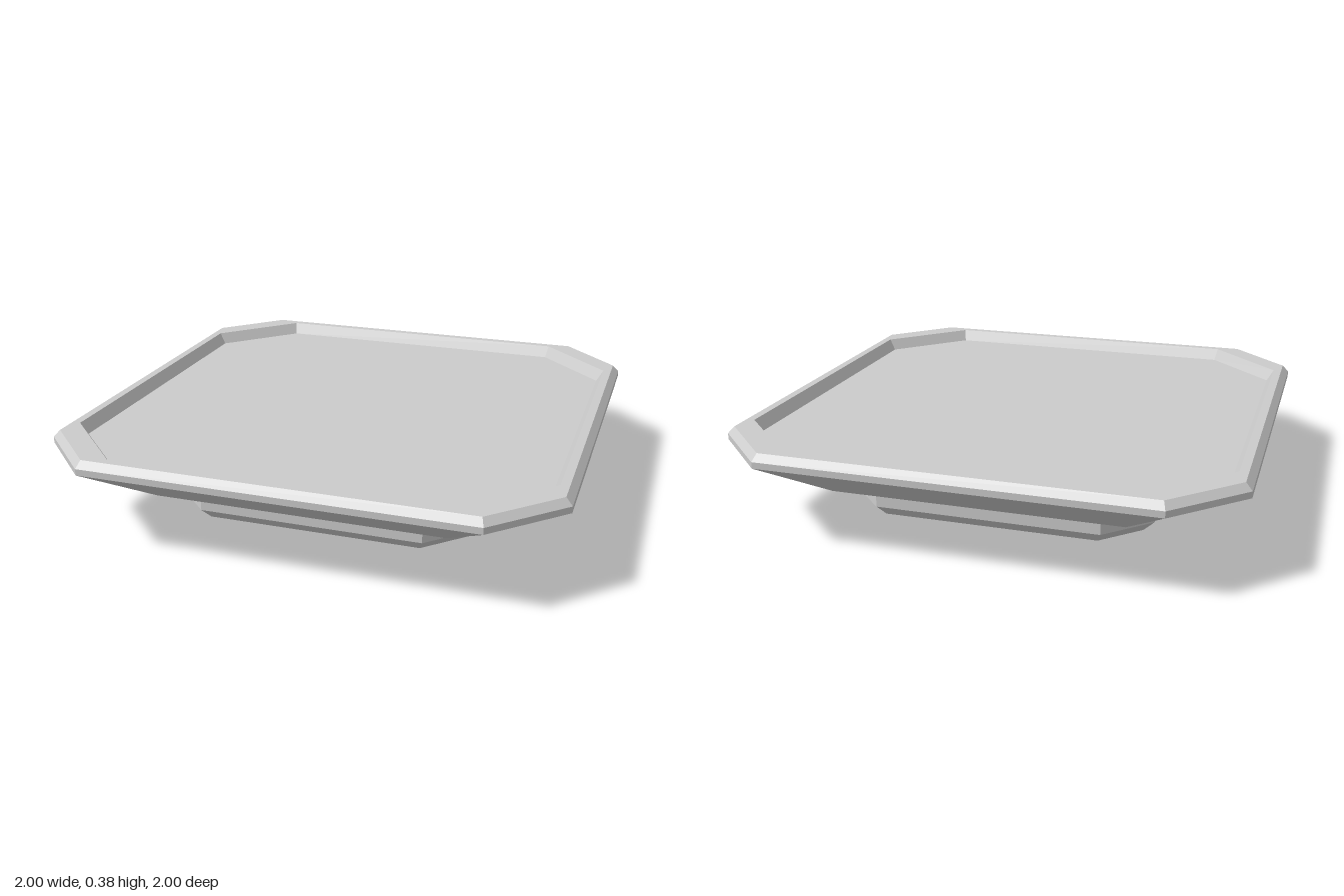
import * as THREE from 'three';

const material = new THREE.MeshStandardMaterial({ color: 0xcccccc, flatShading: true });

// Chamfered square: h = half width, k = half length of the straight side
const octagon = ([h, k, y]) =>
  [[h, -k], [h, k], [k, h], [-k, h], [-h, k], [-h, -k], [-k, -h], [k, -h]]
    .map(([x, z]) => new THREE.Vector3(x, y, z));

// Joins a list of chamfered squares [h, k, y]; h = 0 closes an end
function loft(name, profile) {
  const rings = profile.map(octagon);
  const points = [];
  for (let r = 0; r < rings.length - 1; r++) {
    for (let i = 0; i < 8; i++) {
      const j = (i + 1) % 8;
      const a = rings[r][i], b = rings[r][j];
      const c = rings[r + 1][i], d = rings[r + 1][j];
      if (profile[r][0] > 0) points.push(a, c, b);
      if (profile[r + 1][0] > 0) points.push(b, c, d);
    }
  }
  const geometry = new THREE.BufferGeometry().setFromPoints(points);
  geometry.computeVertexNormals();
  const mesh = new THREE.Mesh(geometry, material);
  mesh.name = name;
  return mesh;
}

// Adds the corners of a w x d rectangle to a shape or hole path
function rectangle(path, w, d) {
  return path.setFromPoints([[-1, -1], [1, -1], [1, 1], [-1, 1]]
    .map(([x, y]) => new THREE.Vector2(x * w / 2, y * d / 2)));
}

// Hollow square socket standing on y = 0
function socket(w, d, wall, height) {
  const shape = rectangle(new THREE.Shape(), w, d);
  shape.holes.push(rectangle(new THREE.Path(), w - 2 * wall, d - 2 * wall));
  const geometry = new THREE.ExtrudeGeometry(shape, { depth: height, bevelEnabled: false });
  geometry.rotateX(-Math.PI / 2);
  const mesh = new THREE.Mesh(geometry, material);
  mesh.name = 'socket';
  return mesh;
}

export function createModel() {
  const model = new THREE.Group();
  model.name = 'tray';

  // Tray: sloping underside, bevelled rim and sunken top
  model.add(loft('trayTop', [
    [0, 0, 0.157],
    [0.745, 0.57, 0.157],
    [1, 0.75, 0.323],
    [1, 0.75, 0.348],
    [0.975, 0.74, 0.375],
    [0.942, 0.65, 0.375],
    [0.915, 0.64, 0.328],
    [0, 0, 0.328],
  ]));

  // Foot: open ring with a bevelled lower edge
  model.add(loft('foot', [
    [0.55, 0.38, 0.157],
    [0.55, 0.38, 0.009],
    [0.575, 0.43, 0.009],
    [0.62, 0.45, 0.055],
    [0.62, 0.45, 0.157],
  ]));

  // Connector block inside the foot, with four hollow sockets
  const block = new THREE.Mesh(new THREE.BoxGeometry(0.58, 0.09, 0.51), material);
  block.position.y = 0.113;
  block.name = 'connectorBlock';
  model.add(block);
  for (const sx of [-1, 1]) {
    for (const sz of [-1, 1]) {
      const part = socket(0.165, 0.13, 0.022, 0.07);
      part.position.set(sx * 0.148, 0, sz * 0.128);
      model.add(part);
    }
  }
  return model;
}
